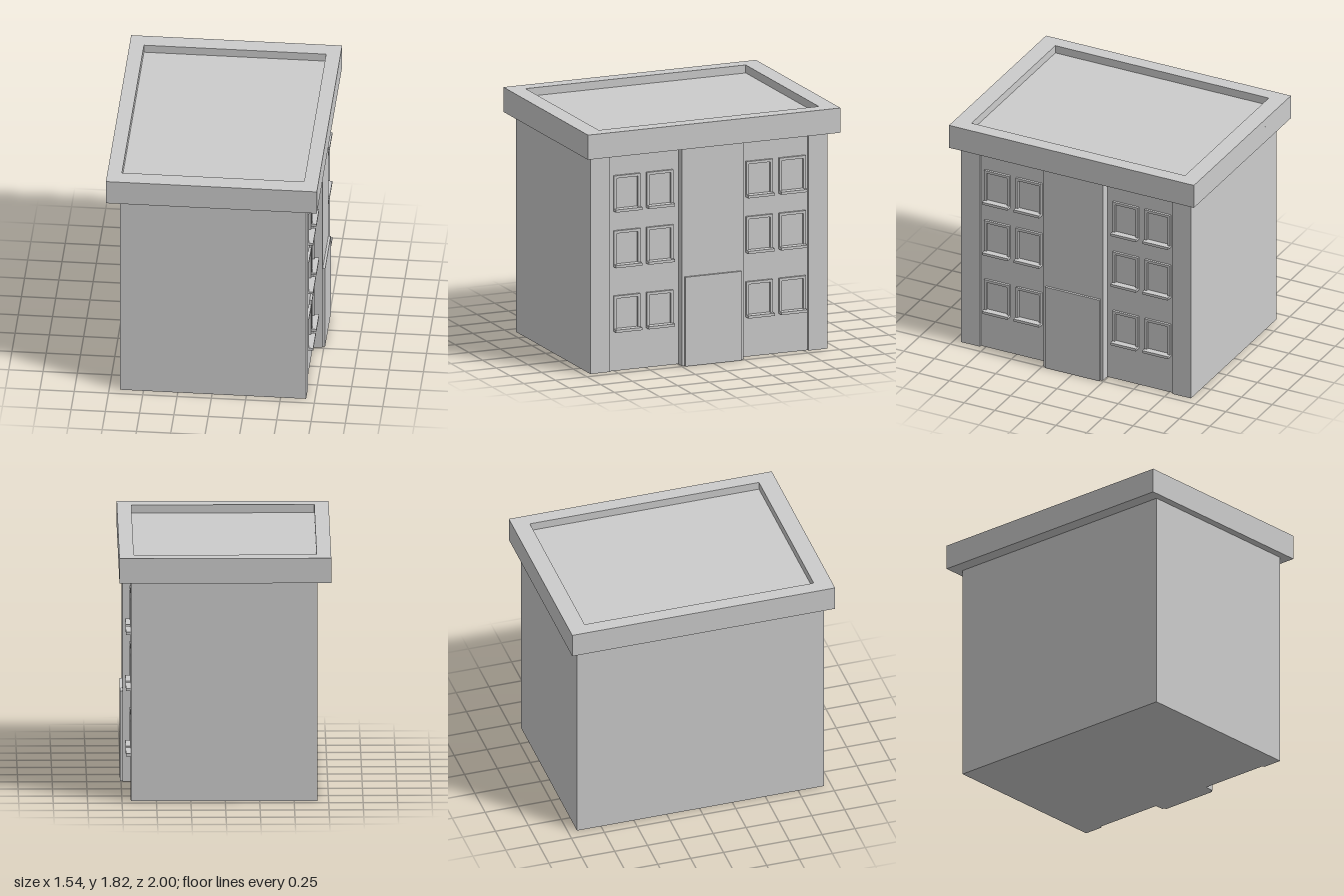
import * as THREE from 'three';

export function createModel() {
  const group = new THREE.Group();
  group.name = 'apartmentBuilding';
  const material = new THREE.MeshStandardMaterial({ color: 0xcccccc, flatShading: true });

  // Box given by its extents on each axis
  function block(name, [x0, x1], [y0, y1], [z0, z1], parent = group) {
    const mesh = new THREE.Mesh(new THREE.BoxGeometry(x1 - x0, y1 - y0, z1 - z0), material);
    mesh.position.set((x0 + x1) / 2, (y0 + y1) / 2, (z0 + z1) / 2);
    mesh.name = name;
    parent.add(mesh);
  }

  const wallX = 0.67, wallTop = 1.63, roofTop = 1.815, roofFloor = 1.755;
  const zBack = -0.933, zFront = 0.945;

  // Main body with raised corner strips and central bay on the +x facade
  block('walls', [-wallX, wallX], [0, wallTop], [zBack, zFront]);
  block('cornerStripFront', [wallX, 0.686], [0, wallTop], [0.79, zFront]);
  block('cornerStripBack', [wallX, 0.686], [0, wallTop], [zBack, -0.783]);
  block('centralBay', [wallX, 0.74], [0, wallTop], [-0.242, 0.242]);
  block('door', [0.74, 0.758], [0, 0.668], [-0.222, 0.222]);

  // Overhanging roof slab
  block('roofSlab', [-0.769, 0.769], [wallTop, roofFloor], [-1, 1]);

  // Parapet: a rectangular ring above the slab
  const outline = new THREE.Shape([[-0.769, -1], [0.769, -1], [0.769, 1], [-0.769, 1]]
    .map(([x, y]) => new THREE.Vector2(x, y)));
  outline.holes.push(new THREE.Path([[-0.664, -0.87], [-0.664, 0.873], [0.664, 0.873], [0.664, -0.87]]
    .map(([x, y]) => new THREE.Vector2(x, y))));
  const ring = new THREE.ExtrudeGeometry(outline, { depth: roofTop - roofFloor, bevelEnabled: false });
  ring.rotateX(-Math.PI / 2);
  const parapet = new THREE.Mesh(ring, material);
  parapet.position.y = roofFloor;
  parapet.name = 'parapet';
  group.add(parapet);

  // Windows: raised frame on three sides with a deeper sill below
  const frame = 0.02, halfWidth = 0.104, sillHeight = 0.02;
  for (const [bottom, top] of [[0.297, 0.564], [0.781, 1.052], [1.198, 1.465]]) {
    for (const z of [0.653, 0.393, -0.396, -0.657]) {
      const win = new THREE.Group();
      win.name = 'window';
      const z0 = z - halfWidth, z1 = z + halfWidth, sillTop = bottom + sillHeight;
      const depth = [wallX, 0.688];
      block('windowSill', [wallX, 0.72], [bottom, sillTop], [z0, z1], win);
      block('frameTop', depth, [top - frame, top], [z0, z1], win);
      block('frameSide', depth, [sillTop, top - frame], [z0, z0 + frame], win);
      block('frameSide', depth, [sillTop, top - frame], [z1 - frame, z1], win);
      group.add(win);
    }
  }

  return group;
}
